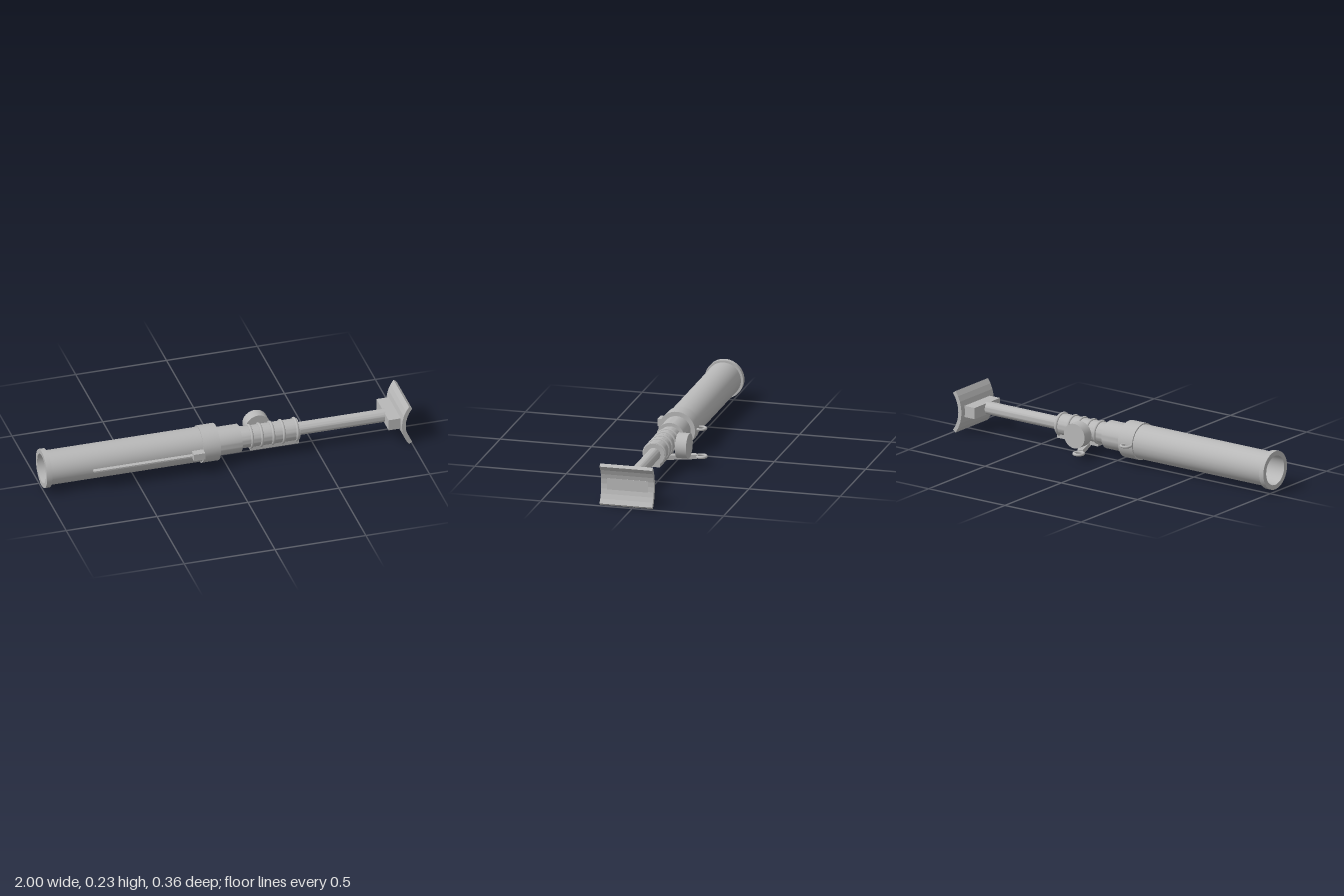
import * as THREE from 'three';
import { toCreasedNormals } from 'three/addons/utils/BufferGeometryUtils.js';

const AXIS_Y = 0.118, AXIS_Z = 0.045;

export function createModel() {
  const model = new THREE.Group();
  model.name = 'launcherTube';
  const grey = new THREE.MeshStandardMaterial({ color: 0xb8b8b8 });
  grey.name = 'grey';

  const add = (name, geometry, x, y, z) => {
    const mesh = new THREE.Mesh(geometry, grey);
    mesh.name = name;
    mesh.position.set(x, y, z);
    model.add(mesh);
    return mesh;
  };
  // Box given by its minimum and maximum corners
  const box = (name, a, b) => add(name,
    new THREE.BoxGeometry(b[0] - a[0], b[1] - a[1], b[2] - a[2]),
    (a[0] + b[0]) / 2, (a[1] + b[1]) / 2, (a[2] + b[2]) / 2);
  // Turned part about the long axis; profile points are [radius, x]
  const turned = (name, profile) => {
    const lathe = new THREE.LatheGeometry(profile.map(p => new THREE.Vector2(...p)), 48);
    add(name, toCreasedNormals(lathe, 0.5), 0, AXIS_Y, AXIS_Z).rotation.z = -Math.PI / 2;
  };

  // Hollow barrel with its muzzle rim, collar and stepped neck
  turned('barrel', [
    [0, -0.13], [0.08, -0.13], [0.08, -1], [0.105, -1], [0.105, -0.972],
    [0.093, -0.972], [0.093, -0.135], [0.1, -0.135], [0.1, -0.042],
    [0.076, -0.042], [0.076, 0.085], [0, 0.085],
  ]);
  turned('grip', [[0, 0.08], [0.058, 0.08], [0.058, 0.408], [0, 0.408]]);
  turned('stockRod', [[0, 0.4], [0.035, 0.4], [0.035, 0.89], [0, 0.89]]);

  // Raised bands around the grip
  for (const x of [0.145, 0.2, 0.262, 0.32, 0.395]) {
    add('gripBand', new THREE.TorusGeometry(0.058, 0.008, 10, 40), x, AXIS_Y, AXIS_Z).rotation.y = Math.PI / 2;
  }

  // Sighting strip and its block along the barrel side
  box('sideStrip', [-0.745, 0.114, 0.13], [-0.2, 0.122, 0.161]);
  box('sideBlock', [-0.2, 0.1, 0.12], [-0.138, 0.139, 0.177]);

  // Sling ring on the back of the collar
  add('slingRing', new THREE.TorusGeometry(0.027, 0.007, 10, 28), -0.105, AXIS_Y, -0.069).rotation.x = Math.PI / 2;

  // Drum on a short stem behind the grip
  const drum = (name, r, z0, z1, x) =>
    add(name, new THREE.CylinderGeometry(r, r, z1 - z0, 40), x, AXIS_Y, (z0 + z1) / 2).rotation.x = Math.PI / 2;
  drum('drum', 0.068, -0.095, -0.034, 0.215);
  drum('drumStem', 0.018, -0.036, 0.03, 0.195);

  // Rail below the grip, with the trigger lever and its ring
  box('underRail', [0.14, 0.048, 0.013], [0.408, 0.08, 0.077]);
  const start = new THREE.Vector2(0.158, -0.12), end = new THREE.Vector2(0.215, 0.03);
  const lever = add('lever', new THREE.BoxGeometry(0.03, 0.024, start.distanceTo(end)),
    (start.x + end.x) / 2, 0.047, (start.y + end.y) / 2);
  lever.rotation.y = Math.atan2(end.x - start.x, end.y - start.y);
  add('leverRing', new THREE.TorusGeometry(0.026, 0.008, 12, 32), 0.15, 0.046, -0.143).rotation.x = Math.PI / 2;

  // Curved faceted shoulder plate, extruded across z
  const inner = 0.166, outer = 0.187, half = 0.66, steps = 8, cx = 1.131;
  const arc = r => Array.from({ length: steps + 1 }, (_, i) => {
    const a = -half + (2 * half * i) / steps;
    return new THREE.Vector2(cx - r * Math.cos(a), 0.115 + r * Math.sin(a));
  });
  const section = new THREE.Shape([...arc(outer), ...arc(inner).reverse()]);
  const plate = new THREE.ExtrudeGeometry(section, { depth: 0.288, bevelEnabled: false });
  add('shoulderPlate', plate, 0, 0, -0.109);

  // Mounting block that shows flush through the plate
  box('plateMount', [0.88, 0.085, -0.078], [0.9695, 0.147, 0.147]);

  return model;
}
